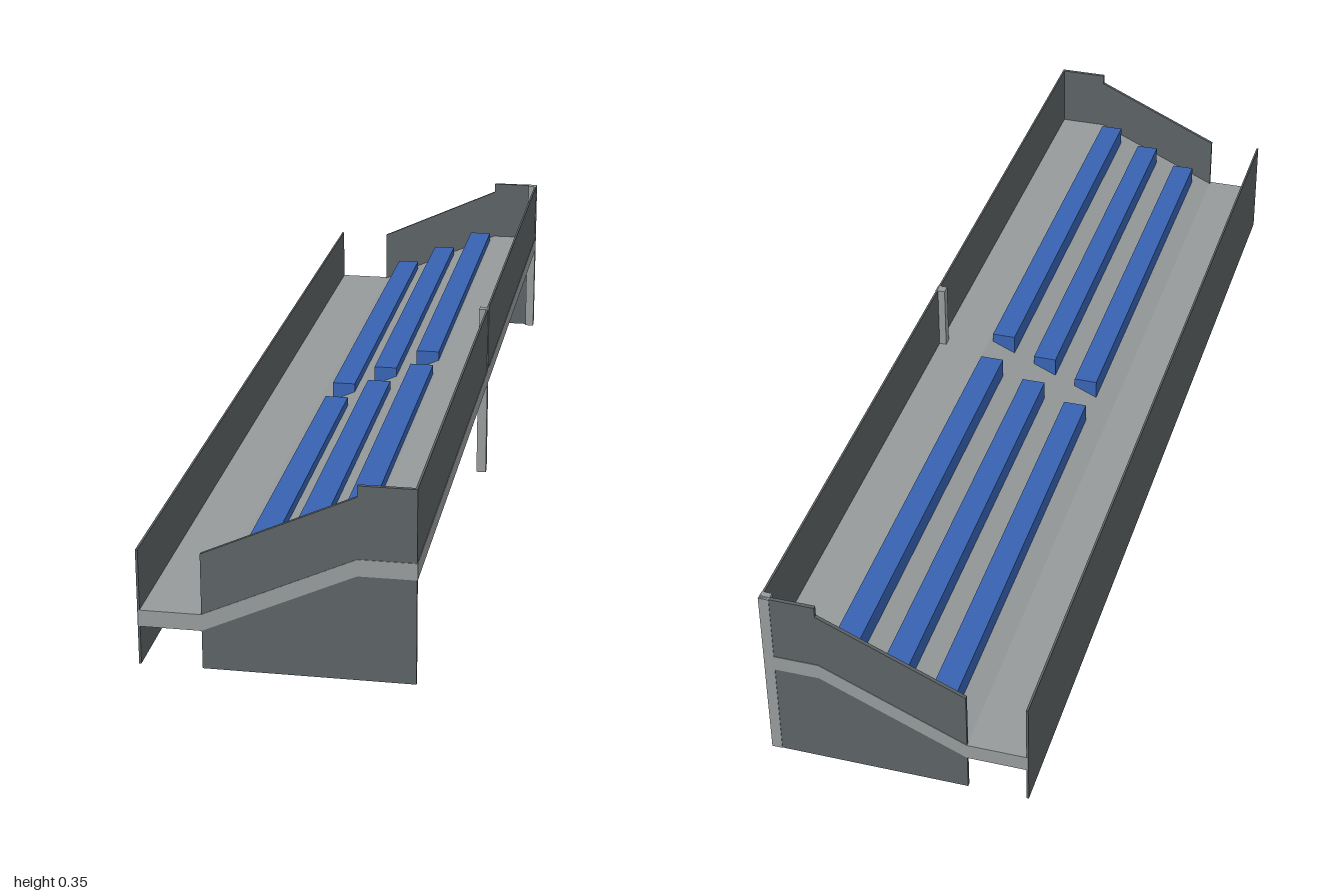
import * as THREE from 'three';

const HALF_W = 0.2375; // half the width, across the rows
const HALF_L = 0.9735; // half the length, along the rows

export function createModel() {
  const wallGrey = new THREE.MeshStandardMaterial({ name: 'wallGrey', color: 0x5b6164 });
  const floorGrey = new THREE.MeshStandardMaterial({ name: 'floorGrey', color: 0x969a9b });
  const benchBlue = new THREE.MeshStandardMaterial({ name: 'benchBlue', color: 0x3762b2 });

  const model = new THREE.Group();
  model.name = 'grandstand';
  const stand = new THREE.Group();
  stand.name = 'stand';
  stand.rotation.y = THREE.MathUtils.degToRad(10);
  model.add(stand);

  // Box given by its limits on each axis
  function box(name, material, [x0, x1], [y0, y1], [z0, z1]) {
    const mesh = new THREE.Mesh(new THREE.BoxGeometry(x1 - x0, y1 - y0, z1 - z0), material);
    mesh.position.set((x0 + x1) / 2, (y0 + y1) / 2, (z0 + z1) / 2);
    mesh.name = name;
    stand.add(mesh);
  }

  // Cross-section extruded along the length
  function profile(name, material, points, z0, z1) {
    const shape = new THREE.Shape(points.map(([x, y]) => new THREE.Vector2(x, y)));
    const geometry = new THREE.ExtrudeGeometry(shape, { depth: z1 - z0, bevelEnabled: false });
    geometry.translate(0, 0, z0);
    const mesh = new THREE.Mesh(geometry, material);
    mesh.name = name;
    stand.add(mesh);
  }

  // Floor slab: low walkway, slope, high walkway; its edges stand just proud of the walls
  const edge = 0.001;
  const topLine = [[-HALF_W + 0.002, 0.1], [-0.127, 0.1], [0.138, 0.22], [HALF_W + edge, 0.22]];
  const underside = topLine.map(([x, y]) => [x, y - 0.03]).reverse();
  profile('floor', floorGrey, [...underside, ...topLine], -HALF_L - edge, HALF_L + edge);

  // End walls with a sloping top and a small step
  const endShape = [[-0.127, 0], [HALF_W, 0], [HALF_W, 0.35], [0.138, 0.35], [0.138, 0.33], [-0.127, 0.21]];
  profile('frontEndWall', wallGrey, endShape, HALF_L - 0.007, HALF_L);
  profile('backEndWall', wallGrey, endShape, -HALF_L, -HALF_L + 0.007);

  // Long walls on the low and high sides
  box('lowSideWall', wallGrey, [-HALF_W, -HALF_W + 0.004], [0, 0.21], [-HALF_L, HALF_L]);
  box('highSideWall', wallGrey, [HALF_W - 0.004, HALF_W], [0.19, 0.35], [-HALF_L, HALF_L]);

  // Square posts, at the middle and the back corner of the high side
  for (const [name, z] of [['middlePost', 0.008], ['backPost', -HALF_L + 0.008]]) {
    box(name, floorGrey, [HALF_W - 0.018, HALF_W + edge], [0, 0.35], [z - 0.009, z + 0.009]);
  }

  // Three rising rows of benches on each side of the middle gap
  for (let row = 0; row < 3; row++) {
    const x = -0.067 + row * 0.0875;
    const y = 0.115 + row * 0.04;
    box('frontBench', benchBlue, [x - 0.023, x + 0.023], [y, y + 0.04], [0.04, 0.934]);
    box('backBench', benchBlue, [x - 0.023, x + 0.023], [y, y + 0.04], [-0.936, -0.042]);
  }

  return model;
}
